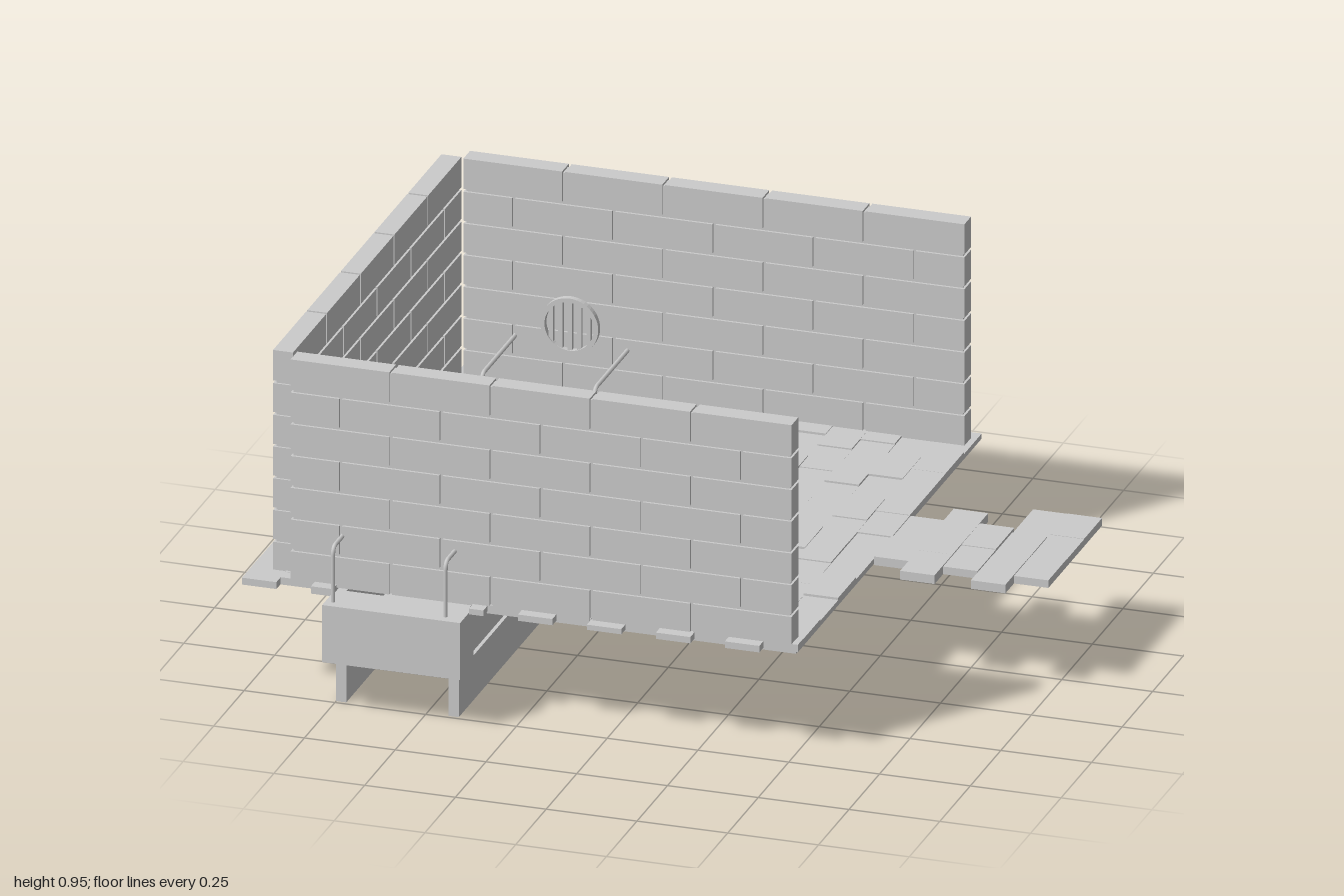
import * as THREE from 'three';

const mat = new THREE.MeshStandardMaterial({ color: 0xcccccc, flatShading: true });
const smooth = new THREE.MeshStandardMaterial({ color: 0xcccccc });

// Seeded random for the uneven paving
let seed = 7;
const rand = () => (seed = (seed * 16807) % 2147483647) / 2147483647;

// Box given by its min and max on each axis
function box(parent, name, x0, x1, y0, y1, z0, z1) {
  const m = new THREE.Mesh(new THREE.BoxGeometry(x1 - x0, y1 - y0, z1 - z0), mat);
  m.position.set((x0 + x1) / 2, (y0 + y1) / 2, (z0 + z1) / 2);
  m.name = name;
  parent.add(m);
  return m;
}

function group(parent, name) {
  const g = new THREE.Group();
  g.name = name;
  parent.add(g);
  return g;
}

const FLOOR = 0.32, ROW = 0.09, ROWS = 7, BRICK = 0.276, WALL = 1.38, THICK = 0.055;

// Running-bond wall along x, centred, with recessed mortar core
function brickWall(parent, name) {
  const g = group(parent, name), h = WALL / 2, t = THICK / 2, gap = 0.004;
  box(g, 'mortar', -h + 0.006, h - 0.006, FLOOR, FLOOR + ROW * ROWS - 0.006, -t + 0.007, t - 0.007);
  for (let r = 0; r < ROWS; r++) {
    const y = FLOOR + r * ROW;
    for (let a = -h - (r % 2) * BRICK / 2; a < h - 0.01; a += BRICK) {
      const x0 = Math.max(a, -h), x1 = Math.min(a + BRICK, h);
      box(g, 'brick', x0 + (x0 > -h ? gap : 0), x1 - (x1 < h - 0.01 ? gap : 0),
        y + (r ? gap : 0), y + ROW - (r < ROWS - 1 ? gap : 0), -t, t);
    }
  }
  return g;
}

// Arched doorway outline
function arch(S, halfWidth, height, radius) {
  const s = new S();
  s.moveTo(-halfWidth, 0);
  s.lineTo(halfWidth, 0);
  s.lineTo(halfWidth, height - radius);
  s.absarc(halfWidth - radius, height - radius, radius, 0, Math.PI / 2, false);
  s.absarc(-halfWidth + radius, height - radius, radius, Math.PI / 2, Math.PI, false);
  s.lineTo(-halfWidth, 0);
  return s;
}

// One hoop of railing along z with rounded upper corners
function railHoop(parent, x, z0, z1) {
  const v = (z, y) => new THREE.Vector3(x, y, z), top = 0.467, r = 0.022;
  const path = new THREE.CurvePath();
  path.add(new THREE.LineCurve3(v(z0, 0.3), v(z0, top - r)));
  path.add(new THREE.QuadraticBezierCurve3(v(z0, top - r), v(z0, top), v(z0 + r, top)));
  path.add(new THREE.LineCurve3(v(z0 + r, top), v(z1 - r, top)));
  path.add(new THREE.QuadraticBezierCurve3(v(z1 - r, top), v(z1, top), v(z1, top - r)));
  path.add(new THREE.LineCurve3(v(z1, top - r), v(z1, 0.3)));
  const m = new THREE.Mesh(new THREE.TubeGeometry(path, 120, 0.006, 8), smooth);
  m.name = 'railing';
  parent.add(m);
}

// Round drain grate with vertical bars, facing +z
function grate(parent, x, z, turn) {
  const g = group(parent, 'drainGrate'), R = 0.08;
  const ring = new THREE.Shape().absarc(0, 0, R, 0, Math.PI * 2);
  ring.holes.push(new THREE.Path().absarc(0, 0, R - 0.012, 0, Math.PI * 2));
  const rim = new THREE.Mesh(
    new THREE.ExtrudeGeometry(ring, { depth: 0.018, bevelEnabled: false, curveSegments: 24 }), mat);
  rim.name = 'grateRim';
  g.add(rim);
  for (let i = -2; i <= 2; i++) {
    const bx = i * 0.026, h = Math.sqrt((R - 0.006) ** 2 - bx * bx);
    box(g, 'grateBar', bx - 0.006, bx + 0.006, -h, h, 0.002, 0.014);
  }
  g.position.set(x, 0.52, z);
  g.rotation.y = turn;
}

export function createModel() {
  const model = new THREE.Group();
  model.name = 'brickCanalRoom';

  // Three brick walls
  brickWall(model, 'backWall').position.set(-0.187, 0, -0.708);
  brickWall(model, 'frontWall').position.set(-0.187, 0, 0.708);
  const side = brickWall(model, 'sideWall');
  side.position.x = -0.913;
  side.rotation.y = Math.PI / 2;

  // Doorway in the side wall: arched frame around a flat panel
  const door = group(model, 'doorway');
  const frameShape = arch(THREE.Shape, 0.14, 0.275, 0.07);
  const hole = new THREE.Path();
  hole.moveTo(-0.087, 0.001);
  hole.lineTo(-0.087, 0.235);
  hole.lineTo(0.087, 0.235);
  hole.lineTo(0.087, 0.001);
  frameShape.holes.push(hole);
  const frame = new THREE.Mesh(
    new THREE.ExtrudeGeometry(frameShape, { depth: 0.07, bevelEnabled: false, curveSegments: 10 }), mat);
  frame.name = 'doorFrame';
  frame.rotation.y = Math.PI / 2;
  frame.position.set(-0.948, 0.325, 0);
  door.add(frame);
  box(door, 'doorPanel', -0.943, -0.883, 0.325, 0.56, -0.087, 0.087);

  // Floor slabs on both banks of the canal
  const floor = group(model, 'floor');
  box(floor, 'mainSlab', -0.375, 0.515, 0.303, 0.318, -0.735, 0.735);
  box(floor, 'sideSlab', -0.99, -0.75, 0.308, 0.318, -0.735, 0.735);

  // Staggered paving in columns, skipping the canal
  const W = 0.095, L = 0.147;
  for (let k = 0; k < 16; k++) {
    let x0 = -1 + k * W, x1 = x0 + W;
    if (x0 < -0.75) x1 = Math.min(x1, -0.75);
    else if (x1 > -0.375) x0 = Math.max(x0, -0.375);
    else continue;
    const lo = k % 2 ? -0.772 : -0.738, hi = k % 2 ? 0.735 : 0.768;
    const start = k % 2 ? lo : hi - L * 11;
    for (let z = start; z < hi - 0.01; z += L) {
      box(floor, 'pavingStone', x0, x1, 0.308, 0.322 + rand() * 0.008,
        Math.max(z, lo), Math.min(z + L, hi));
    }
  }

  // Ragged path leading away from the open side
  const path = group(model, 'path');
  [[0.52, -0.19, 0.11], [0.615, -0.26, 0.18], [0.71, -0.19, 0.11],
    [0.81, -0.33, 0.18], [0.905, -0.33, 0.11]].forEach(([x, z0, z1]) => {
    const n = Math.round((z1 - z0) / L), d = (z1 - z0) / n;
    for (let i = 0; i < n; i++) {
      box(path, 'pathStone', x, x + W, 0.304, 0.323 + rand() * 0.006, z0 + i * d, z0 + (i + 1) * d);
    }
  });

  // Canal trough with solid ends
  const canal = group(model, 'canal');
  box(canal, 'canalBed', -0.755, -0.375, 0.15, 0.176, -0.84, 0.84);
  box(canal, 'canalOuterSide', -0.755, -0.725, 0.176, 0.312, -0.73, 0.73);
  box(canal, 'canalInnerSide', -0.41, -0.385, 0.176, 0.312, -0.73, 0.73);
  for (const s of [-1, 1]) {
    const z = [0.73 * s, 0.84 * s].sort((a, b) => a - b);
    box(canal, 'canalEnd', -0.755, -0.375, 0.176, 0.312, z[0], z[1]);
  }

  // Support beams under the canal
  for (const x of [-0.75, -0.44]) box(model, 'supportBeam', x, x + 0.028, 0, 0.15, -0.74, 0.74);

  // Railings along both banks, four hoops each
  for (const x of [-0.735, -0.425]) {
    for (let i = 0; i < 4; i++) {
      const z = -0.81 + i * 0.405;
      railHoop(model, x, z + (i ? 0.006 : 0), z + 0.405 - (i < 3 ? 0.006 : 0));
    }
  }

  // Drain grates facing each other above the canal
  grate(model, -0.58, -0.682, 0);
  grate(model, -0.58, 0.682, Math.PI);

  return model;
}
